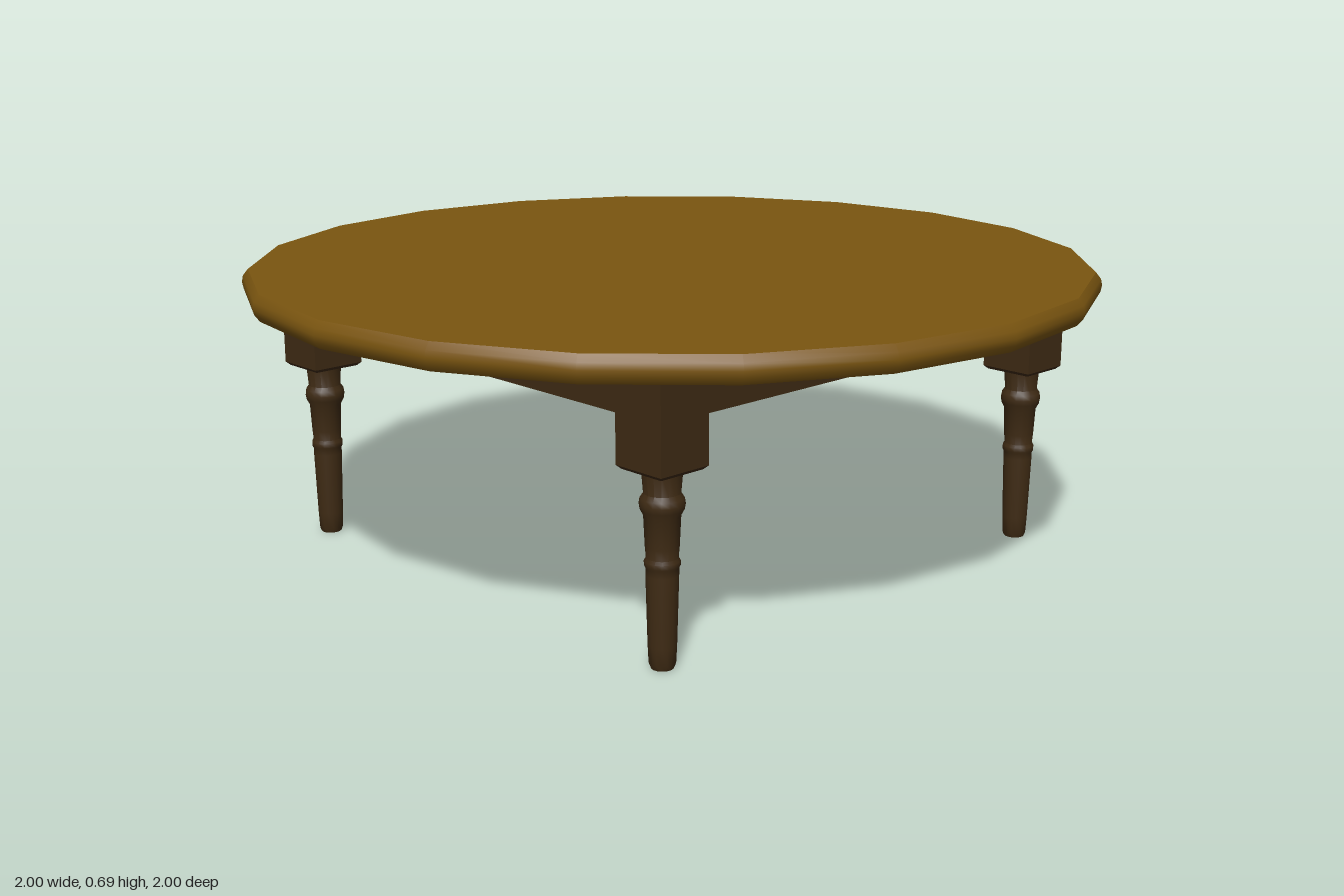
import * as THREE from 'three';
import { toCreasedNormals } from 'three/addons/utils/BufferGeometryUtils.js';

const topWood = new THREE.MeshStandardMaterial({ color: 0x7a5510 });
const legWood = new THREE.MeshStandardMaterial({ color: 0x3f2b14 });

function lathe(points, sides, crease) {
  const profile = points.map(([r, y]) => new THREE.Vector2(r, y));
  return toCreasedNormals(new THREE.LatheGeometry(profile, sides), crease);
}

function addMesh(parent, name, geometry, material, x = 0, y = 0, z = 0) {
  const mesh = new THREE.Mesh(geometry, material);
  mesh.name = name;
  mesh.position.set(x, y, z);
  parent.add(mesh);
  return mesh;
}

export function createModel() {
  const table = new THREE.Group();
  table.name = 'roundTable';
  const legPos = 0.595, topBottom = 0.625;

  // Twenty-sided top with a rounded rim
  addMesh(table, 'tableTop', lathe([
    [0, topBottom], [0.985, topBottom], [0.997, 0.64], [1, 0.655],
    [0.997, 0.67], [0.985, 0.685], [0, 0.685],
  ], 20, 0.6), topWood);

  // Turned leg: collar, bead, thin ring and tapered foot
  const turning = lathe([
    [0, 0], [0.024, 0], [0.028, 0.01], [0.03, 0.05], [0.034, 0.2],
    [0.034, 0.215], [0.037, 0.22], [0.037, 0.23], [0.033, 0.237],
    [0.035, 0.26], [0.038, 0.325], [0.045, 0.338], [0.047, 0.35],
    [0.045, 0.362], [0.038, 0.372], [0.042, 0.42], [0, 0.425],
  ], 16, 0.7);

  // Square block, its four lower edges bevelled
  const half = 0.065, bevel = 0.008;
  const block = toCreasedNormals(new THREE.LatheGeometry([
    [0, 0.42], [half - bevel, 0.42], [half, 0.42 + bevel], [half, topBottom], [0, topBottom],
  ].map(([r, y]) => new THREE.Vector2(r * Math.SQRT2, y)), 4, Math.PI / 4), 0.3);

  for (const sx of [-1, 1]) {
    for (const sz of [-1, 1]) {
      const leg = new THREE.Group();
      leg.name = (sz > 0 ? 'front' : 'back') + (sx > 0 ? 'Left' : 'Right') + 'Leg';
      leg.position.set(sx * legPos, 0, sz * legPos);
      addMesh(leg, 'legBlock', block, legWood);
      addMesh(leg, 'legTurning', turning, legWood);
      table.add(leg);
    }
  }

  // Four apron rails between the blocks
  const rail = new THREE.BoxGeometry(2 * (legPos - half) + 0.02, 0.1, 0.08);
  ['front', 'left', 'back', 'right'].forEach((side, i) => {
    const a = i * Math.PI / 2;
    addMesh(table, side + 'Apron', rail, legWood,
      Math.sin(a) * legPos, 0.575, Math.cos(a) * legPos).rotation.y = a;
  });

  return table;
}
